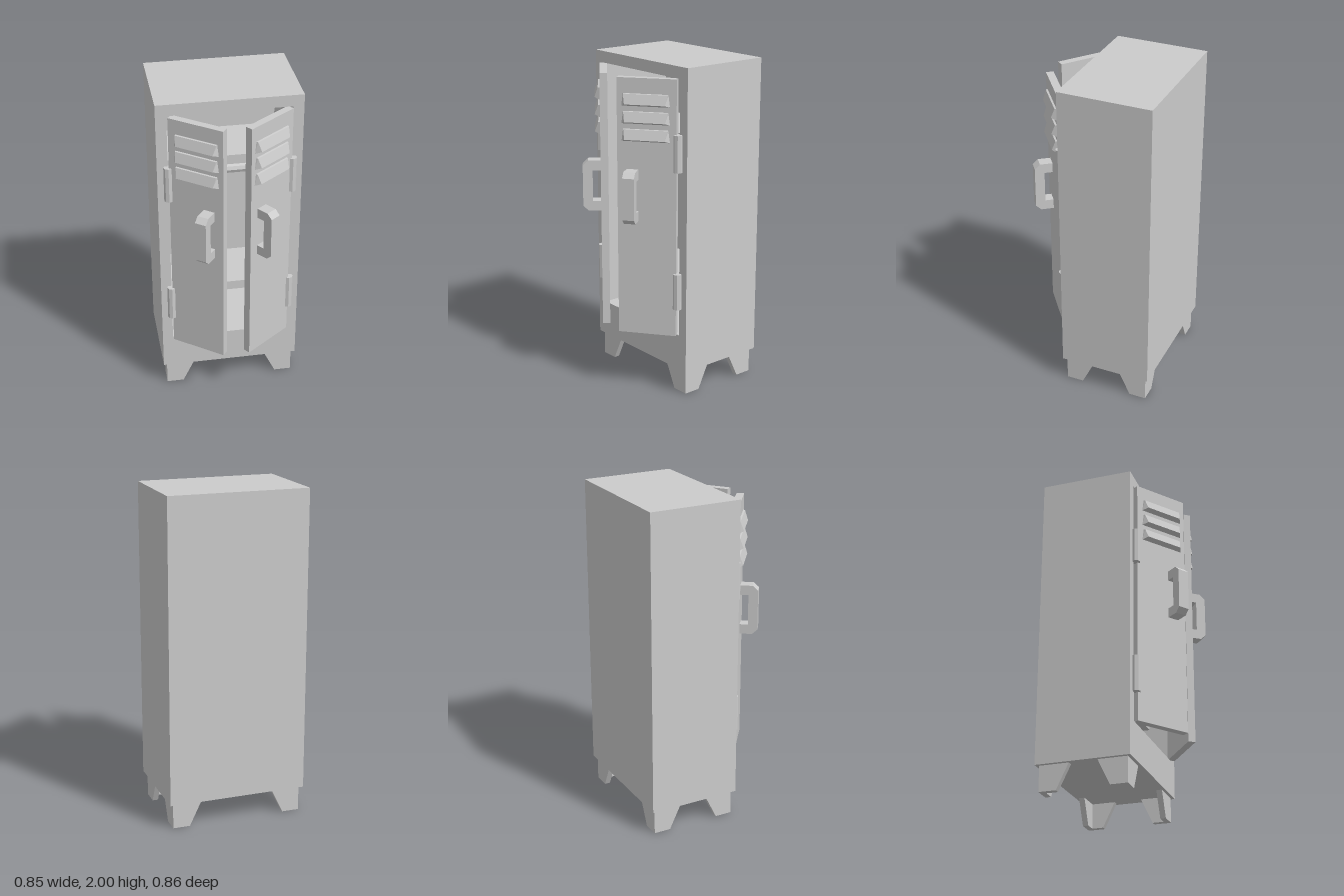
import * as THREE from 'three';

const grey = new THREE.MeshStandardMaterial({ color: 0xcccccc, flatShading: true });

function add(parent, name, geometry, x = 0, y = 0, z = 0) {
  const mesh = new THREE.Mesh(geometry, grey);
  mesh.name = name;
  mesh.position.set(x, y, z);
  parent.add(mesh);
  return mesh;
}

function group(parent, name) {
  const g = new THREE.Group();
  g.name = name;
  parent.add(g);
  return g;
}

const polygon = pts => new THREE.Shape(pts.map(p => new THREE.Vector2(...p)));
const extrude = (shape, depth) =>
  new THREE.ExtrudeGeometry(shape, { depth, bevelEnabled: false });

// Pressed louvre: a box whose outer face tapers and leans out to a lower lip
function louvreGeometry() {
  const g = new THREE.BoxGeometry(1, 1, 1).toNonIndexed();
  const p = g.attributes.position;
  for (let i = 0; i < p.count; i++) {
    const side = Math.sign(p.getX(i));
    const top = p.getY(i) > 0;
    const outer = p.getZ(i) > 0;
    // half width, height, distance from the door
    const [w, h, d] = outer
      ? (top ? [0.13, 0.036, 0.011] : [0.119, -0.022, 0.031])
      : (top ? [0.134, 0.038, -0.002] : [0.144, -0.036, -0.002]);
    p.setXYZ(i, side * w, h, d);
  }
  g.computeVertexNormals();
  return g;
}

// C-shaped pull handle with chamfered outer corners
function handleGeometry() {
  const profile = polygon([
    [-0.002, -0.155], [0.076, -0.155], [0.108, -0.125], [0.108, 0.125],
    [0.076, 0.155], [-0.002, 0.155], [-0.002, 0.095], [0.05, 0.095],
    [0.05, -0.095], [-0.002, -0.095],
  ]);
  return extrude(profile, 0.07).translate(0, 0, -0.035).rotateY(-Math.PI / 2);
}

// Door hinged at its local origin; s = 1 opens on the -x side, s = -1 on +x
function addDoor(parent, s) {
  const door = group(parent, s > 0 ? 'rightDoor' : 'leftDoor');
  door.position.set(-s * 0.36, 0, 0.163);
  door.rotation.y = -s * 0.649;
  add(door, 'doorPanel', new THREE.BoxGeometry(0.351, 1.555, 0.045), s * 0.1755, 1.1525, -0.0225);
  for (const y of [1.802, 1.699, 1.596]) add(door, 'louvre', louvreGeometry(), s * 0.181, y, 0);
  add(door, 'handle', handleGeometry(), s * 0.26, 1.24, 0);
}

// Angle-iron leg: two tapered plates meeting at the outer corner
function addLeg(parent, x, z, turn) {
  const leg = group(parent, 'leg');
  leg.position.set(x, 0, z);
  leg.rotation.y = turn;
  const t = 0.035;
  const plate = polygon([[0, 0], [0, 0.156], [-0.18, 0.156], [-0.105, 0]]);
  add(leg, 'legPlate', extrude(plate, t).translate(0, 0, -t));
  add(leg, 'legPlate', extrude(plate, t).rotateY(-Math.PI / 2));
}

export function createModel() {
  const model = new THREE.Group();
  model.name = 'locker';

  // Cabinet shell with its front opening
  const shell = polygon([[-0.427, 0.155], [0.427, 0.155], [0.427, 2], [-0.427, 2]]);
  shell.holes.push(polygon([[-0.363, 0.375], [-0.363, 1.93], [0.363, 1.93], [0.363, 0.375]]));
  add(model, 'cabinetShell', extrude(shell, 0.506), 0, 0, -0.366);
  add(model, 'backPanel', new THREE.BoxGeometry(0.854, 1.845, 0.064), 0, 1.0775, -0.398);

  // Shelves and hanging rail
  for (const y of [1.54, 0.63])
    add(model, 'shelf', new THREE.BoxGeometry(0.73, 0.06, 0.37), 0, y, -0.183);
  const rail = new THREE.CylinderGeometry(0.03, 0.03, 0.73, 8).rotateZ(Math.PI / 2);
  add(model, 'hangingRail', rail, 0, 1.39, -0.16);

  // Doors and hinges
  for (const s of [1, -1]) {
    addDoor(model, s);
    for (const y of [1.5, 0.66])
      add(model, 'hinge', new THREE.CylinderGeometry(0.027, 0.027, 0.22, 8), -s * 0.364, y, 0.155);
  }

  // Legs, each a quarter turn from the last
  [[1, 0.12], [1, -0.41], [-1, -0.41], [-1, 0.12]].forEach(([side, z], i) =>
    addLeg(model, side * 0.405, z, i * Math.PI / 2));

  return model;
}
